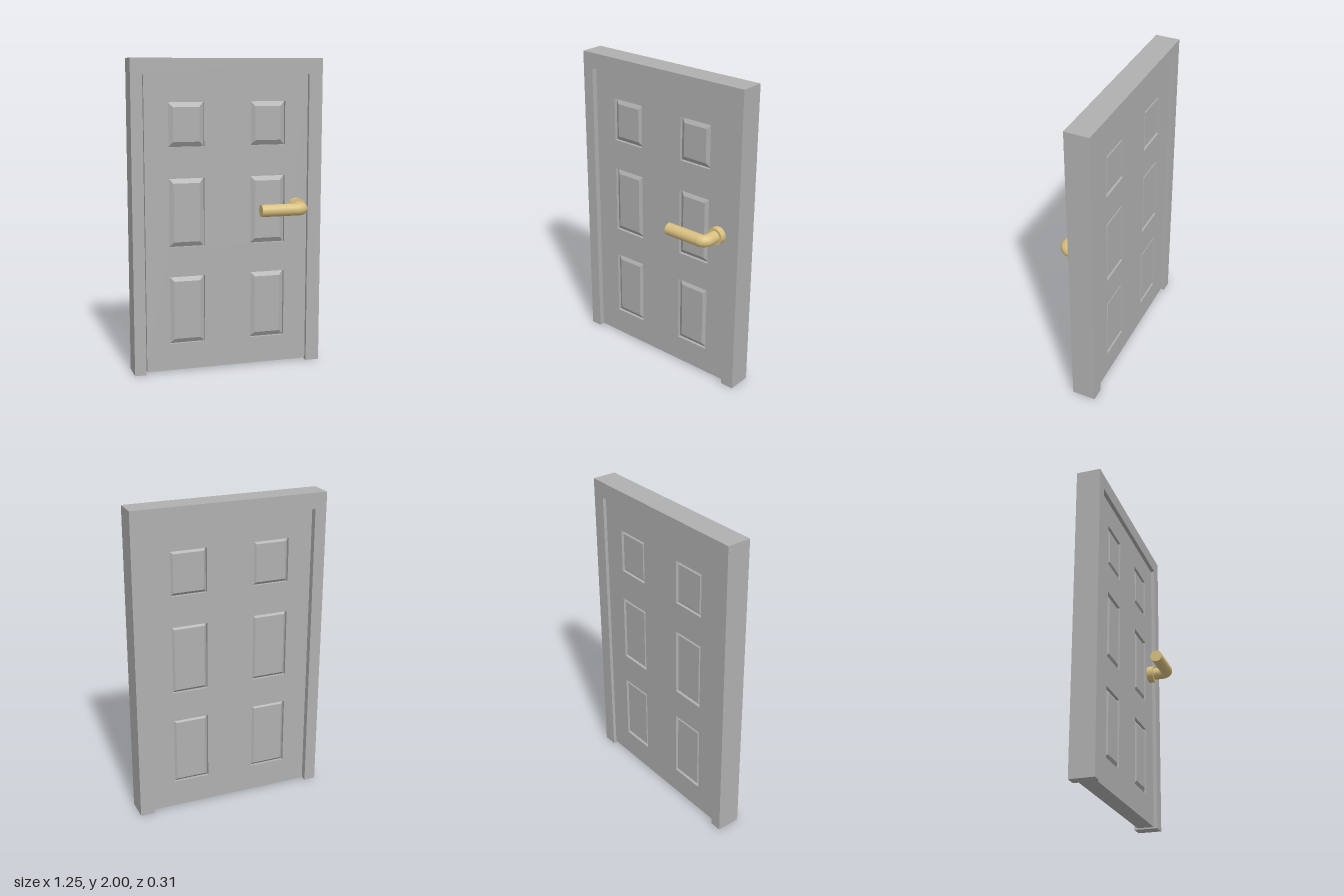
import * as THREE from 'three';

const grey = new THREE.MeshStandardMaterial({ color: 0xb0b0b0 });
grey.name = 'door grey';
const brass = new THREE.MeshStandardMaterial({ color: 0xd9c080 });
brass.name = 'brass';

// Depth of the frame and of the slightly recessed door leaf
const FRAME_BACK = -0.155, LEAF_FRONT = -0.025, LEAF_BACK = -0.133;

function add(parent, name, geometry, material, x = 0, y = 0, z = 0) {
  const mesh = new THREE.Mesh(geometry, material);
  mesh.name = name;
  mesh.position.set(x, y, z);
  parent.add(mesh);
  return mesh;
}

function trace(path, points) {
  points.forEach(([x, y], i) => (i ? path.lineTo(x, y) : path.moveTo(x, y)));
  path.closePath();
  return path;
}

const rect = (x0, x1, y0, y1) => [[x0, y0], [x1, y0], [x1, y1], [x0, y1]];

// Solid made of stacked rectangles, listed front to back as [inset, z]
function bevelledPanel(w, h, rings) {
  const pos = [], index = [];
  for (const [inset, z] of rings) {
    const a = w / 2 - inset, b = h / 2 - inset;
    for (const [x, y] of rect(-a, a, -b, b)) pos.push(x, y, z);
  }
  for (let r = 0; r < rings.length - 1; r++) {
    for (let i = 0; i < 4; i++) {
      const a = r * 4 + i, b = r * 4 + (i + 1) % 4;
      index.push(a, a + 4, b, b, a + 4, b + 4);
    }
  }
  const e = (rings.length - 1) * 4;
  index.push(0, 1, 2, 0, 2, 3, e, e + 2, e + 1, e, e + 3, e + 2);
  const indexed = new THREE.BufferGeometry();
  indexed.setAttribute('position', new THREE.Float32BufferAttribute(pos, 3));
  indexed.setIndex(index);
  const geometry = indexed.toNonIndexed();
  geometry.computeVertexNormals();
  return geometry;
}

export function createModel() {
  const model = new THREE.Group();
  model.name = 'panelDoor';

  // Frame: two jambs and a head in one piece, open at the bottom
  const arch = trace(new THREE.Shape(), [
    [-0.625, 0], [-0.55, 0], [-0.55, 1.9], [0.535, 1.9],
    [0.535, 0], [0.625, 0], [0.625, 2], [-0.625, 2],
  ]);
  add(model, 'doorFrame', new THREE.ExtrudeGeometry(arch, { depth: -FRAME_BACK, bevelEnabled: false }),
    grey, 0, 0, FRAME_BACK);

  // Leaf with six openings
  const leaf = new THREE.Group();
  leaf.name = 'doorLeaf';
  model.add(leaf);
  const columns = [-0.271, 0.266];
  const rows = [[1.452, 1.73], [0.817, 1.254], [0.185, 0.624]];
  const panelWidth = 0.23;
  const slab = trace(new THREE.Shape(), rect(-0.54, 0.535, 0.01, 1.9));
  for (const x of columns) {
    for (const [y0, y1] of rows) {
      slab.holes.push(trace(new THREE.Path(), rect(x - panelWidth / 2, x + panelWidth / 2, y0, y1)));
    }
  }
  add(leaf, 'leafSlab', new THREE.ExtrudeGeometry(slab, { depth: LEAF_FRONT - LEAF_BACK, bevelEnabled: false }),
    grey, 0, 0, LEAF_BACK);

  // Raised panels with sloping edges, set in the openings
  for (const x of columns) {
    for (const [y0, y1] of rows) {
      const panel = bevelledPanel(panelWidth, y1 - y0, [
        [0.031, LEAF_FRONT], [0, LEAF_FRONT - 0.02],
        [0, LEAF_BACK + 0.02], [0.018, LEAF_BACK + 0.004],
      ]);
      add(leaf, 'raisedPanel', panel, grey, x, (y0 + y1) / 2, 0);
    }
  }

  // Lever handle: rosette, stem, quarter bend and grip
  const handle = new THREE.Group();
  handle.name = 'leverHandle';
  handle.position.set(0.46, 1.047, 0);
  model.add(handle);
  const r = 0.039, bend = 0.04, gripZ = 0.111, gripLength = 0.243;
  const rosette = new THREE.CylinderGeometry(0.055, 0.055, 0.042, 32).rotateX(Math.PI / 2);
  add(handle, 'rosette', rosette, brass, 0, 0, LEAF_FRONT + 0.021);
  const stem = new THREE.CylinderGeometry(r, r, gripZ - bend, 24, 1, true).rotateX(Math.PI / 2);
  add(handle, 'stem', stem, brass, 0, 0, (gripZ - bend) / 2);
  const elbow = new THREE.TorusGeometry(bend, r, 24, 8, Math.PI / 2).rotateX(Math.PI / 2);
  add(handle, 'elbow', elbow, brass, -bend, 0, gripZ - bend);
  const grip = new THREE.CylinderGeometry(r, r, gripLength, 24).rotateZ(Math.PI / 2);
  add(handle, 'grip', grip, brass, -bend - gripLength / 2, 0, gripZ);

  return model;
}
